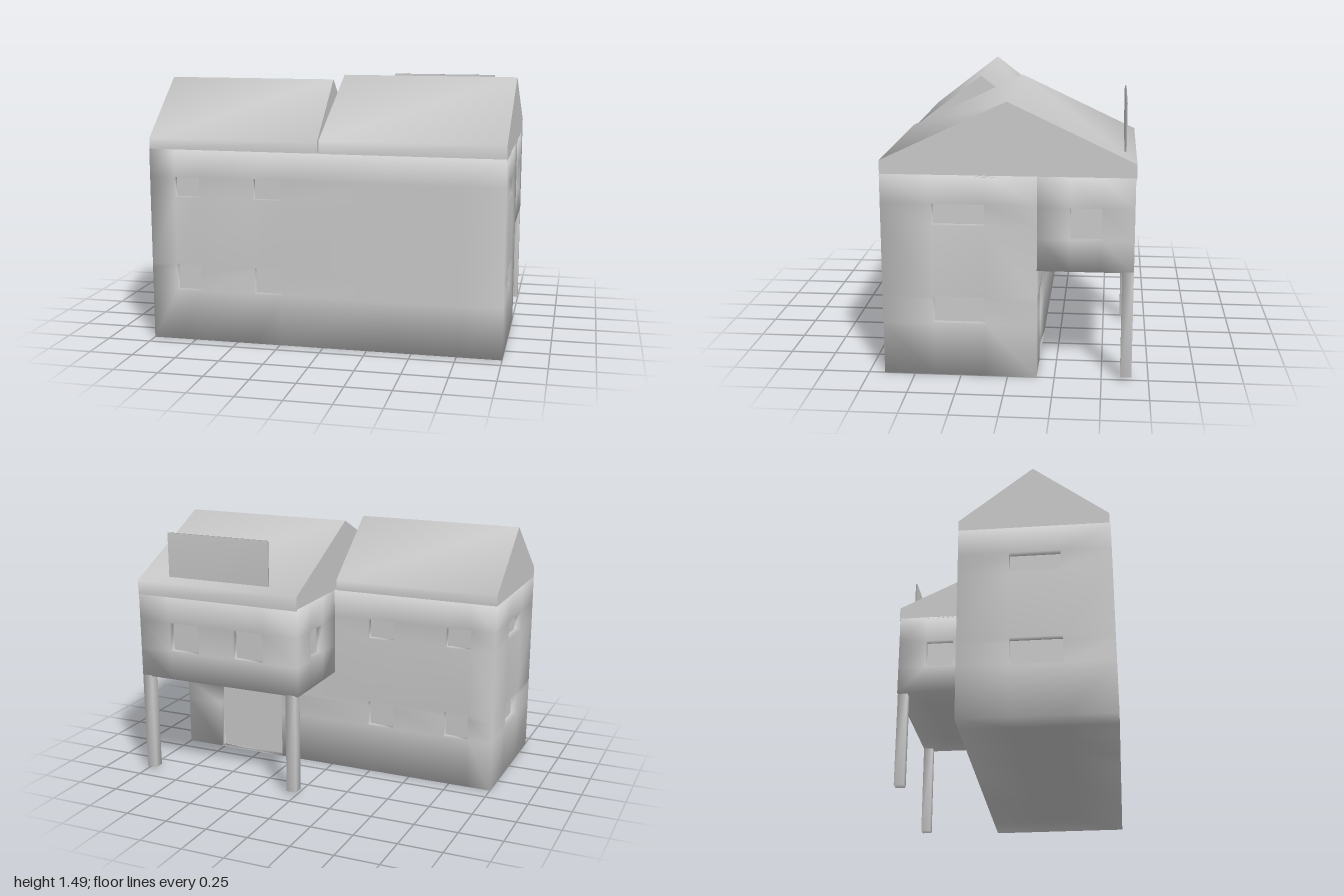
import * as THREE from 'three';
import { mergeVertices, toCreasedNormals } from 'three/addons/utils/BufferGeometryUtils.js';

const material = new THREE.MeshStandardMaterial({ color: 0xcccccc });
const RECESS = 0.04;

function addMesh(parent, name, geometry) {
  const mesh = new THREE.Mesh(geometry, material);
  mesh.name = name;
  parent.add(mesh);
  return mesh;
}

// Weld corners so the shading runs softly across the edges
function softened(geometry) {
  geometry.deleteAttribute('normal');
  geometry.deleteAttribute('uv');
  const welded = mergeVertices(geometry, 1e-4);
  welded.computeVertexNormals();
  return welded;
}

function fromTriangles(positions) {
  const g = new THREE.BufferGeometry();
  g.setAttribute('position', new THREE.Float32BufferAttribute(positions, 3));
  g.computeVertexNormals();
  return g;
}

// Box with recessed openings. cuts: grid lines along x, y, z.
// Opening: axis it faces, side (1, -1 or 0 for both), u and v ranges on the next two axes.
function building(name, cuts, openings) {
  const walls = [], panes = [];
  for (let axis = 0; axis < 3; axis++) {
    const ua = (axis + 1) % 3, va = (axis + 2) % 3;
    const us = cuts[ua], vs = cuts[va];
    for (const side of [1, -1]) {
      const level = side > 0 ? cuts[axis].at(-1) : cuts[axis][0];
      const point = ([u, v], depth) => {
        const p = [0, 0, 0];
        p[axis] = level - side * depth;
        p[ua] = u;
        p[va] = v;
        return p;
      };
      const quad = (list, a, b, c, d) => {
        const order = side > 0 ? [a, b, c, a, c, d] : [a, c, b, a, d, c];
        order.forEach(p => list.push(...p));
      };
      const isOpen = (i, j) => {
        if (i < 0 || j < 0 || i > us.length - 2 || j > vs.length - 2) return false;
        const u = (us[i] + us[i + 1]) / 2, v = (vs[j] + vs[j + 1]) / 2;
        return openings.some(o => o.axis === axis && (o.side === 0 || o.side === side) &&
          u > o.u[0] && u < o.u[1] && v > o.v[0] && v < o.v[1]);
      };
      for (let i = 0; i < us.length - 1; i++) {
        for (let j = 0; j < vs.length - 1; j++) {
          const c = [[us[i], vs[j]], [us[i + 1], vs[j]], [us[i + 1], vs[j + 1]], [us[i], vs[j + 1]]];
          if (!isOpen(i, j)) {
            quad(walls, ...c.map(p => point(p, 0)));
            continue;
          }
          quad(panes, ...c.map(p => point(p, RECESS)));
          // Reveals only along the rim of the opening
          [[0, -1], [1, 0], [0, 1], [-1, 0]].forEach(([di, dj], k) => {
            if (isOpen(i + di, j + dj)) return;
            const p = c[k], q = c[(k + 1) % 4];
            quad(walls, point(p, 0), point(q, 0), point(q, RECESS), point(p, RECESS));
          });
        }
      }
    }
  }
  const group = new THREE.Group();
  group.name = name;
  addMesh(group, name + 'Walls', softened(fromTriangles(walls)));
  addMesh(group, name + 'Panes', fromTriangles(panes));
  return group;
}

// Gabled roof running along x
function gableRoof(x0, x1, zBack, zFront, base, eave, ridge) {
  const mid = (zBack + zFront) / 2;
  const profile = new THREE.Shape([
    [-zFront, base], [-zBack, base], [-zBack, eave], [-mid, ridge], [-zFront, eave],
  ].map(([a, b]) => new THREE.Vector2(a, b)));
  const g = new THREE.ExtrudeGeometry(profile, { depth: x1 - x0, bevelEnabled: false });
  g.rotateY(Math.PI / 2);
  g.translate(x0, 0, 0);
  return toCreasedNormals(g, THREE.MathUtils.degToRad(80));
}

function softBox(x0, x1, y0, y1, z0, z1) {
  const g = new THREE.BoxGeometry(x1 - x0, y1 - y0, z1 - z0);
  g.translate((x0 + x1) / 2, (y0 + y1) / 2, (z0 + z1) / 2);
  return softened(g);
}

export function createModel() {
  const model = new THREE.Group();
  model.name = 'house';

  // Main two-storey block: windows on all sides and a back door
  const storeys = [[0.29, 0.44], [0.83, 0.945]];
  const mainOpenings = [{ axis: 2, side: -1, u: [0.34, 0.77], v: [0, 0.41] }];
  for (const y of storeys) {
    mainOpenings.push({ axis: 0, side: 0, u: y, v: [0.12, 0.395] });
    for (const x of [[-0.855, -0.71], [-0.395, -0.235]]) {
      mainOpenings.push({ axis: 2, side: 0, u: x, v: y });
    }
  }
  model.add(building('mainBlock', [
    [-1, -0.855, -0.71, -0.395, -0.235, 0.34, 0.77, 1],
    [0, 0.29, 0.41, 0.44, 0.83, 0.945, 1.1],
    [-0.155, 0.12, 0.395, 0.665],
  ], mainOpenings));

  // Raised room at the back
  const sill = [0.765, 0.935];
  model.add(building('raisedRoom', [
    [-0.02, 0.2, 0.385, 0.61, 0.8, 1],
    [0.595, ...sill, 1.1],
    [-0.66, -0.49, -0.325, -0.155],
  ], [
    { axis: 0, side: 0, u: sill, v: [-0.49, -0.325] },
    { axis: 2, side: -1, u: [0.2, 0.385], v: sill },
    { axis: 2, side: -1, u: [0.61, 0.8], v: sill },
  ]));

  // Posts under the raised room
  [0, 0.94].forEach((x, i) => {
    addMesh(model, i ? 'leftPost' : 'rightPost', softBox(x, x + 0.06, 0.015, 0.6, -0.66, -0.6));
  });

  // Roofs
  addMesh(model, 'largeRoof', gableRoof(-0.02, 1, -0.664, 0.664, 1.09, 1.172, 1.485));
  addMesh(model, 'smallRoof', gableRoof(-1, -0.03, -0.155, 0.66, 1.1, 1.16, 1.475));

  // Upright panel on the back slope
  addMesh(model, 'roofPanel', softBox(0.18, 0.82, 1.19, 1.455, -0.61, -0.6));

  return model;
}
